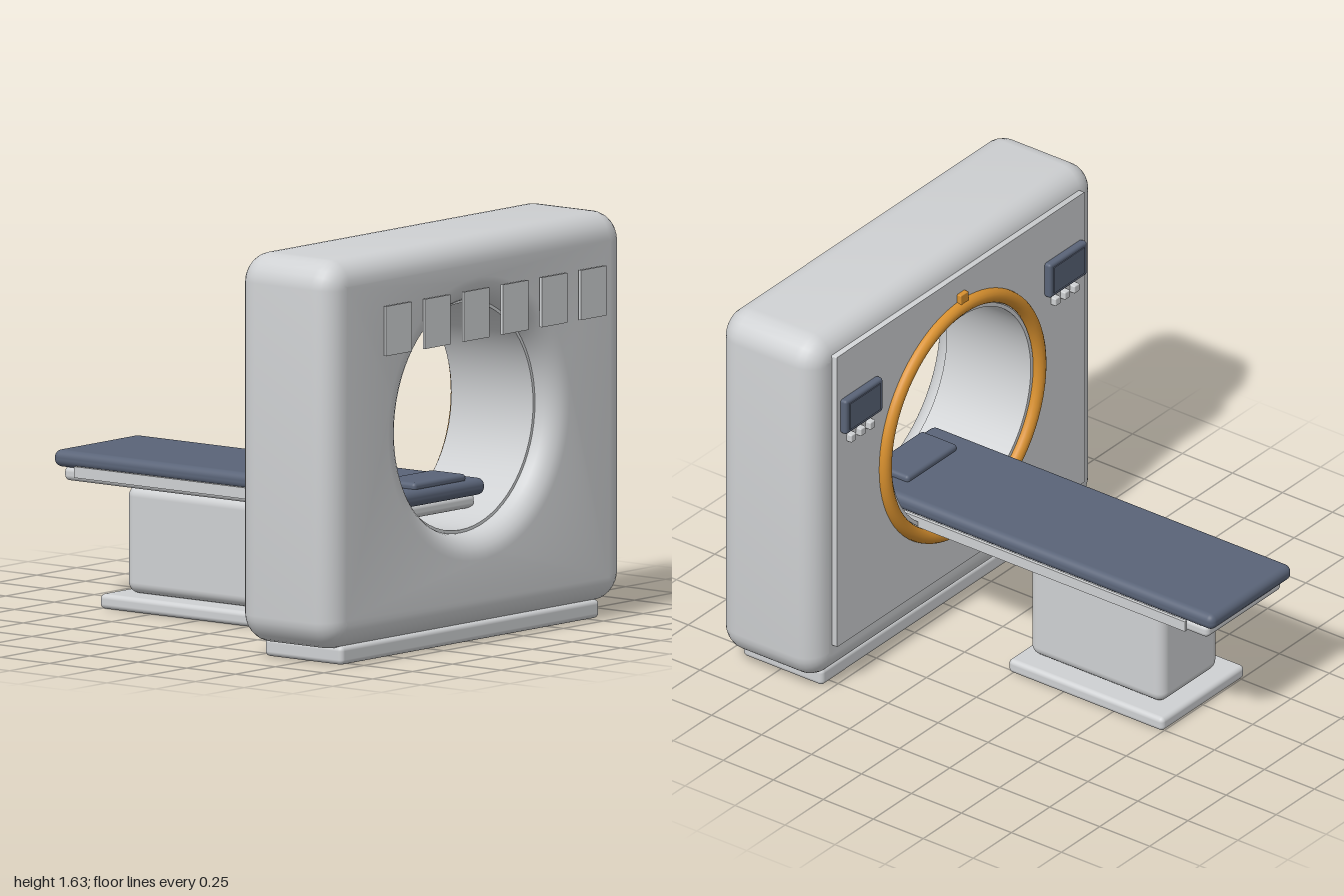
import * as THREE from 'three';
import { RoundedBoxGeometry } from 'three/addons/geometries/RoundedBoxGeometry.js';
import { toCreasedNormals } from 'three/addons/utils/BufferGeometryUtils.js';

const BORE_Y = 0.9;

function makeMaterial(name, color) {
  const m = new THREE.MeshStandardMaterial({ color });
  m.name = name;
  return m;
}

// Rectangle with rounded corners and a round hole, as a shape
function holedPanel(x, y0, y1, r, hole) {
  const pts = [];
  const corners = [[x - r, y1 - r], [-x + r, y1 - r], [-x + r, y0 + r], [x - r, y0 + r]];
  corners.forEach(([cx, cy], i) => {
    for (let k = 0; k <= 6; k++) {
      const a = (i + k / 6) * Math.PI / 2;
      pts.push(new THREE.Vector2(cx + r * Math.cos(a), cy + r * Math.sin(a)));
    }
  });
  const shape = new THREE.Shape(pts);
  const ring = [];
  for (let k = 0; k < 72; k++) {
    const a = -k / 72 * Math.PI * 2;
    ring.push(new THREE.Vector2(hole * Math.cos(a), BORE_Y + hole * Math.sin(a)));
  }
  shape.holes.push(new THREE.Path(ring));
  return shape;
}

export function createModel() {
  const model = new THREE.Group();
  model.name = 'scanner';
  const shell = makeMaterial('light grey shell', 0xcfd1d3);
  const slate = makeMaterial('slate blue padding', 0x5a6478);
  const amber = makeMaterial('amber ring', 0xd9912f);

  const add = (name, geometry, material, x = 0, y = 0, z = 0) => {
    const mesh = new THREE.Mesh(geometry, material);
    mesh.name = name;
    mesh.position.set(x, y, z);
    model.add(mesh);
    return mesh;
  };
  // Rounded box given by its limits
  const box = (name, material, [x0, x1], [y0, y1], [z0, z1], r) =>
    add(name, new RoundedBoxGeometry(x1 - x0, y1 - y0, z1 - z0, 4, r), material,
      (x0 + x1) / 2, (y0 + y1) / 2, (z0 + z1) / 2);

  // Gantry housing, with rounded edges and a flared bore
  const b = 0.1;
  const housing = new THREE.ExtrudeGeometry(holedPanel(0.93 - b, 0.065 + b, 1.63 - b, 0.02, 0.468 + b), {
    depth: 0.29, bevelEnabled: true, bevelSize: b, bevelThickness: b, bevelSegments: 7, curveSegments: 1,
  });
  add('gantryHousing', toCreasedNormals(housing, 0.6), shell, 0, 0, 0.585);
  box('gantryFoot', shell, [-0.81, 0.81], [0, 0.075], [0.535, 0.935], 0.02);

  // Rear service panel
  const panel = new THREE.ExtrudeGeometry(holedPanel(0.81, 0.21, 1.55, 0.005, 0.49), {
    depth: 0.03, bevelEnabled: false, curveSegments: 1,
  });
  add('rearPanel', toCreasedNormals(panel, 0.6), shell, 0, 0, 0.46);

  // Bore liner: a closed tube profile turned about the bore axis
  const profile = [[0.456, 0.46], [0.472, 0.46], [0.472, 0.88], [0.456, 0.88], [0.456, 0.46]]
    .map(([r, z]) => new THREE.Vector2(r, z));
  const liner = new THREE.LatheGeometry(profile, 72);
  liner.rotateX(Math.PI / 2);
  const linerMesh = add('boreLiner', toCreasedNormals(liner, 0.6), shell, 0, BORE_Y, 0);
  linerMesh.material = shell.clone();
  linerMesh.material.name = 'light grey liner';
  linerMesh.material.side = THREE.DoubleSide;

  // Amber ring around the rear opening and its alignment marker
  add('lightRing', new THREE.TorusGeometry(0.505, 0.03, 16, 72), amber, 0, BORE_Y, 0.456);
  box('alignmentMarker', amber, [-0.025, 0.025], [1.425, 1.47], [0.44, 0.465], 0.004);

  // Control displays with three buttons each, both sides of the ring
  for (const s of [-1, 1]) {
    const cx = s * 0.667;
    box('controlDisplay', slate, [cx - 0.122, cx + 0.122], [1.19, 1.345], [0.43, 0.465], 0.012);
    box('displayScreen', slate, [cx - 0.1, cx + 0.1], [1.208, 1.327], [0.426, 0.434], 0.002);
    for (let i = -1; i <= 1; i++) {
      const bx = cx + i * 0.062;
      box('controlButton', shell, [bx - 0.017, bx + 0.017], [1.133, 1.167], [0.436, 0.465], 0.005);
    }
  }

  // Row of front plates
  for (let i = 0; i < 6; i++) {
    add('frontPlate', new THREE.BoxGeometry(0.16, 0.2, 0.012), shell, -0.53 + i * 0.244, 1.326, 0.994);
  }

  // Table: foot, pedestal, tray, side rails, mattress and head pad
  box('tableFoot', shell, [-0.27, 0.27], [0, 0.06], [-0.755, 0.02], 0.02);
  box('pedestal', shell, [-0.19, 0.19], [0.06, 0.495], [-0.69, -0.02], 0.045);
  box('tableTray', shell, [-0.245, 0.245], [0.493, 0.55], [-0.96, 0.76], 0.022);
  box('mattress', slate, [-0.265, 0.265], [0.547, 0.615], [-1, 0.8], 0.03);
  box('headPad', slate, [-0.163, 0.163], [0.605, 0.64], [0.6, 0.78], 0.015);
  for (const s of [-1, 1]) {
    add('sideRail', new THREE.BoxGeometry(0.014, 0.045, 1.55), shell, s * 0.273, 0.538, -0.1);
  }

  return model;
}
